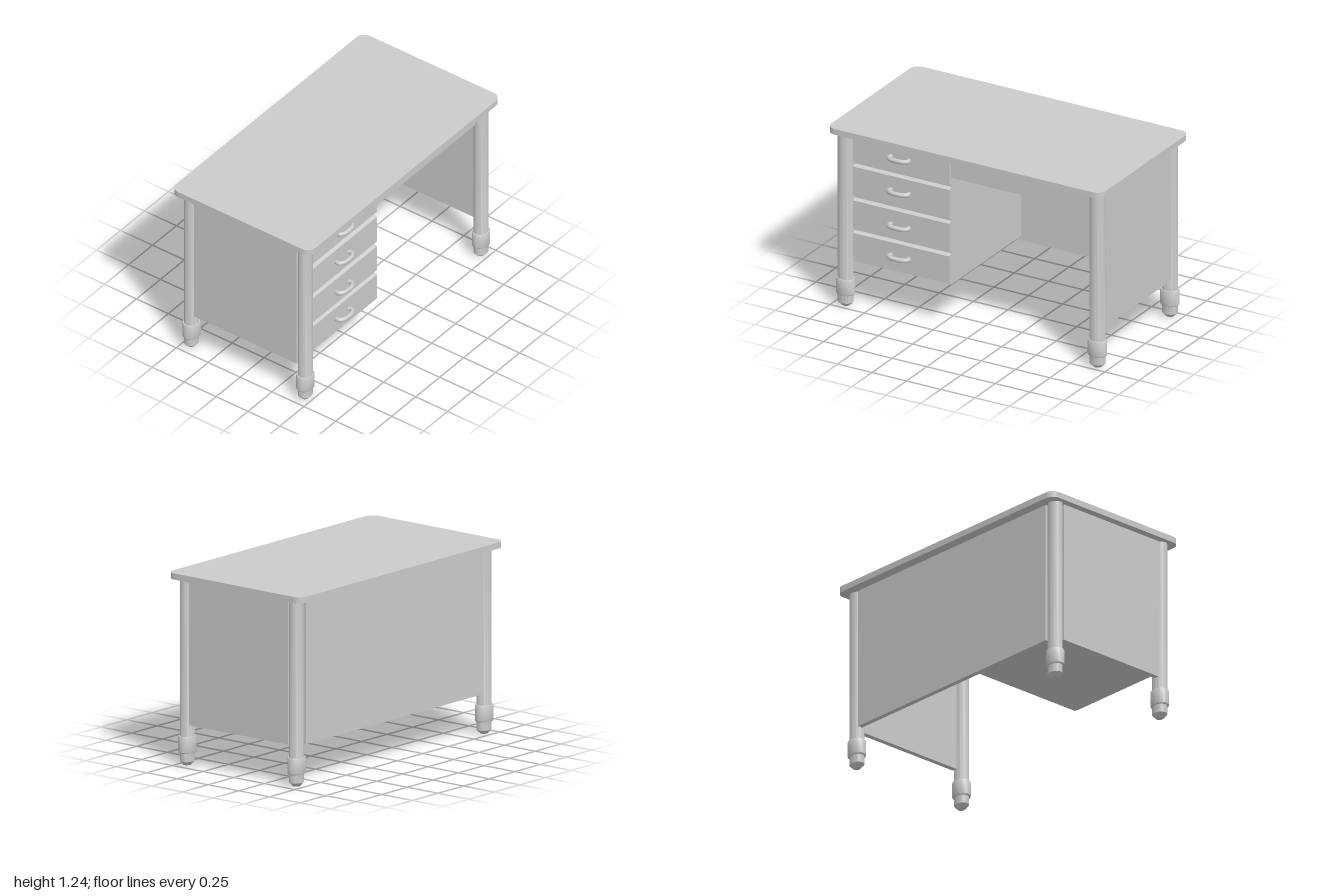
import * as THREE from 'three';
import { toCreasedNormals } from 'three/addons/utils/BufferGeometryUtils.js';

export function createModel() {
  const desk = new THREE.Group();
  desk.name = 'desk';
  const material = new THREE.MeshStandardMaterial({ color: 0xcccccc });

  function add(name, geometry, x = 0, y = 0, z = 0) {
    const mesh = new THREE.Mesh(geometry, material);
    mesh.name = name;
    mesh.position.set(x, y, z);
    desk.add(mesh);
    return mesh;
  }

  // Box given by its extents
  function addBox(name, x0, x1, y0, y1, z0, z1) {
    return add(name, new THREE.BoxGeometry(x1 - x0, y1 - y0, z1 - z0),
      (x0 + x1) / 2, (y0 + y1) / 2, (z0 + z1) / 2);
  }

  // Table top with rounded corners
  const W = 1, D = 0.545, R = 0.06;
  const outline = new THREE.Shape();
  outline.absarc(W - R, D - R, R, 0, Math.PI / 2);
  outline.absarc(-W + R, D - R, R, Math.PI / 2, Math.PI);
  outline.absarc(-W + R, -D + R, R, Math.PI, Math.PI * 1.5);
  outline.absarc(W - R, -D + R, R, Math.PI * 1.5, Math.PI * 2);
  const topGeo = new THREE.ExtrudeGeometry(outline, { depth: 0.04, bevelEnabled: false, curveSegments: 10 });
  topGeo.rotateX(-Math.PI / 2);
  add('tableTop', toCreasedNormals(topGeo, 0.6), 0, 1.2, 0);

  // Legs: tapered foot, sleeve with chamfered rims, plain post; slightly oval
  const legProfile = [
    [0, 0], [0.026, 0], [0.052, 0.025], [0.052, 0.08], [0.06, 0.08], [0.064, 0.087],
    [0.064, 0.178], [0.06, 0.187], [0.052, 0.187], [0.052, 1.2], [0, 1.2],
  ].map(([r, y]) => new THREE.Vector2(r, y));
  const legGeo = new THREE.LatheGeometry(legProfile, 28);
  legGeo.scale(1, 1, 0.84);
  const creasedLeg = toCreasedNormals(legGeo, 0.5);
  for (const [zName, z] of [['front', 0.448], ['back', -0.443]]) {
    add(zName + 'LeftLeg', creasedLeg, 0.916, 0, z);
    add(zName + 'RightLeg', creasedLeg, -0.916, 0, z);
  }

  // Panels between the legs
  addBox('leftSidePanel', 0.915, 0.95, 0.265, 1.2, -0.4, 0.405);
  addBox('rightSidePanel', -0.95, -0.915, 0.265, 1.2, -0.4, 0.405);
  addBox('backPanel', -0.866, 0.866, 0.265, 1.2, -0.478, -0.445);
  addBox('kneeApron', -0.155, 0.866, 1.045, 1.2, 0.405, 0.438);

  // Drawer pedestal: side profile with a bevelled groove under each drawer
  const face = 0.445, inner = 0.42, back = -0.446, bottom = 0.3;
  const drawers = [
    { top: 1.183, low: 1.0, handle: 1.095 },
    { top: 0.96, low: 0.765, handle: 0.866 },
    { top: 0.727, low: 0.538, handle: 0.63 },
    { top: 0.503, low: 0.315, handle: 0.417 },
  ];
  const side = new THREE.Shape();
  side.moveTo(back, bottom);
  side.lineTo(back, 1.2);
  side.lineTo(inner, 1.2);
  for (const { top, low } of drawers) {
    side.lineTo(inner, top + 0.012);
    side.lineTo(face, top);
    side.lineTo(face, low);
    side.lineTo(inner, low - 0.013);
  }
  side.lineTo(inner, bottom);
  const pedestalGeo = new THREE.ExtrudeGeometry(side, { depth: 0.702, bevelEnabled: false });
  pedestalGeo.rotateY(-Math.PI / 2); // profile across z, extruded towards -x
  pedestalGeo.scale(1, 1, 1);
  add('drawerPedestal', pedestalGeo, -0.164, 0, 0);

  // Bowed pull handles
  const bow = new THREE.CatmullRomCurve3([
    [-0.062, -0.012], [-0.068, 0.022], [-0.045, 0.041], [0, 0.047],
    [0.045, 0.041], [0.068, 0.022], [0.062, -0.012],
  ].map(([x, z]) => new THREE.Vector3(x, 0, z)));
  const handleGeo = new THREE.TubeGeometry(bow, 32, 0.015, 10);
  drawers.forEach(({ handle }, i) => add('drawerHandle' + (i + 1), handleGeo, -0.523, handle, face));

  return desk;
}
